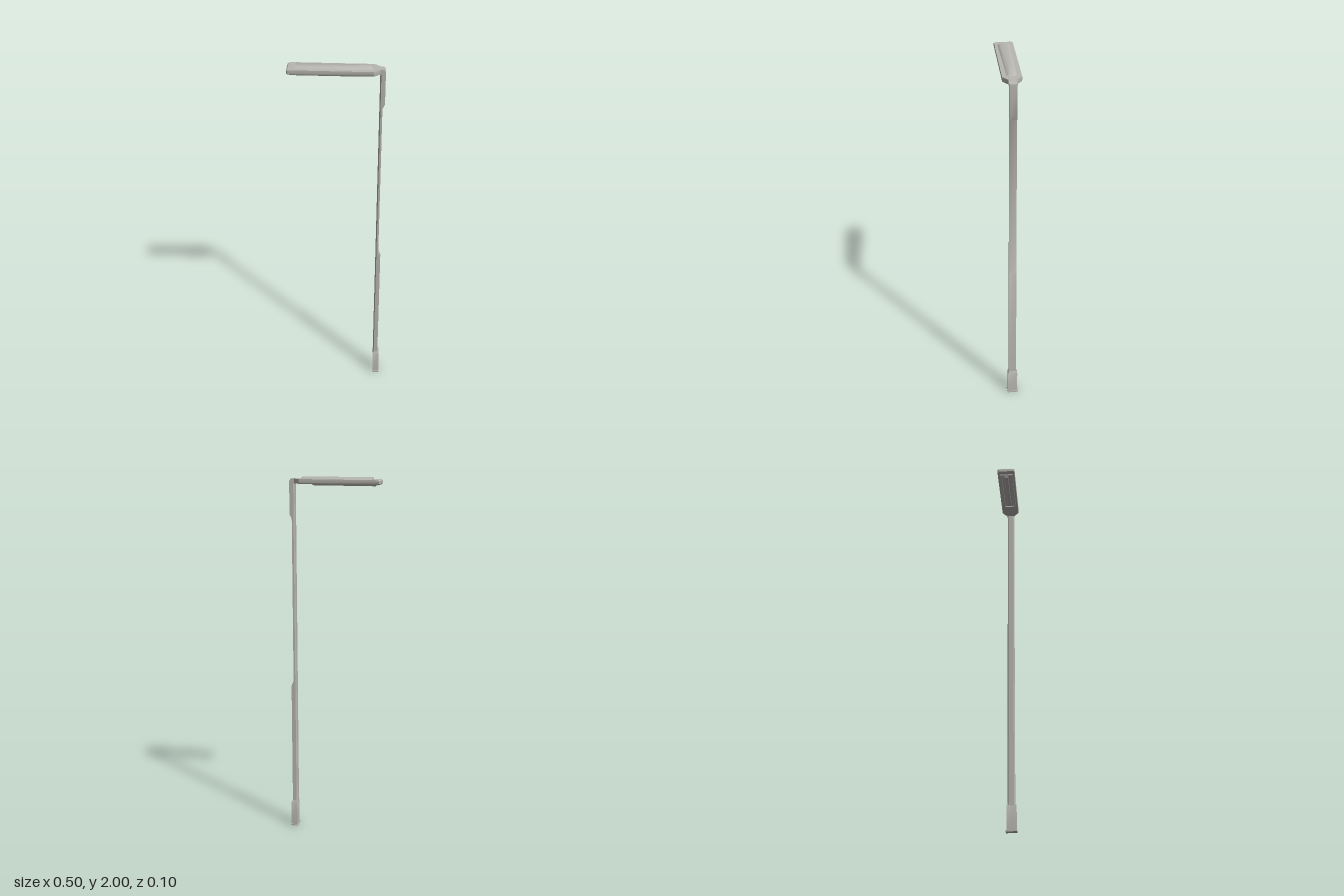
import * as THREE from 'three';
import { toCreasedNormals } from 'three/addons/utils/BufferGeometryUtils.js';

const metal = new THREE.MeshStandardMaterial({ color: 0xb8b6b0 });
metal.name = 'light grey metal';

// Mirror a half outline of [x, z] points (left to right) across z = 0 at height y
function ring(y, half) {
  const pts = half.map(([x, z]) => new THREE.Vector3(x, y, z));
  const back = half.slice().reverse().map(([x, z]) => new THREE.Vector3(x, y, -z));
  return pts.concat(back);
}

// Solid through stacked rings, bottom to top, closed at both ends
function loft(name, rings, crease = 0.6) {
  const pos = [];
  const tri = (...pts) => pts.forEach((p) => pos.push(p.x, p.y, p.z));
  const centre = (r) => r.reduce((s, p) => s.add(p), new THREE.Vector3()).divideScalar(r.length);
  const n = rings[0].length;
  const low = rings[0], high = rings[rings.length - 1];
  const cLow = centre(low), cHigh = centre(high);
  for (let i = 0; i < n; i++) {
    const j = (i + 1) % n;
    for (let k = 0; k < rings.length - 1; k++) {
      const a = rings[k], b = rings[k + 1];
      tri(a[i], a[j], b[j]);
      tri(a[i], b[j], b[i]);
    }
    tri(cLow, low[j], low[i]);
    tri(cHigh, high[i], high[j]);
  }
  const geo = new THREE.BufferGeometry();
  geo.setAttribute('position', new THREE.Float32BufferAttribute(pos, 3));
  const mesh = new THREE.Mesh(toCreasedNormals(geo, crease), metal);
  mesh.name = name;
  return mesh;
}

function box(name, x0, x1, y0, y1, z0, z1) {
  const mesh = new THREE.Mesh(new THREE.BoxGeometry(x1 - x0, y1 - y0, z1 - z0), metal);
  mesh.position.set((x0 + x1) / 2, (y0 + y1) / 2, (z0 + z1) / 2);
  mesh.name = name;
  return mesh;
}

export function createModel() {
  const model = new THREE.Group();
  model.name = 'streetLamp';

  // Foot plate and sleeve
  model.add(box('footPlate', 0.21, 0.252, 0, 0.008, -0.031, 0.031));
  const sleeve = (y, inset) => ring(y, [[0.213 + inset, 0.027 - inset], [0.248 - inset, 0.027 - inset]]);
  model.add(loft('baseSleeve', [sleeve(0.008, 0), sleeve(0.143, 0), sleeve(0.153, 0.005)]));

  // Post: chamfered inner corners, outer face stepping in and out
  const levels = [[0.14, 0.24], [0.845, 0.24], [0.872, 0.228], [1.775, 0.228], [1.8, 0.24], [1.977, 0.24], [1.99, 0.231]];
  model.add(loft('post', levels.map(([y, outer]) =>
    ring(y, [[0.212, 0.014], [0.218, 0.02], [outer, 0.02]]))));

  // Lamp head: flat slab tapering to the neck, bevelled tip
  const slab = (y, tip, w) => ring(y, [[tip, w - 0.006], [tip + 0.006, w], [0.182, w], [0.213, 0.022], [0.231, 0.022]]);
  model.add(loft('lampHead', [
    slab(1.965, -0.249, 0.046), slab(1.97, -0.253, 0.049),
    slab(1.985, -0.253, 0.049), slab(1.99, -0.247, 0.049),
  ]));

  // Softly rounded, tapering ridge on top
  model.add(loft('topRidge', [
    ring(1.99, [[-0.208, 0.033], [0.165, 0.026], [0.177, 0.016]]),
    ring(2.0, [[-0.206, 0.022], [0.16, 0.018], [0.168, 0.012]]),
  ], 0.9));

  // Light panel underneath: sloped rails, end bars and a sloped lens
  const panel = new THREE.Group();
  panel.name = 'lightPanel';
  const bar = (name, x0, x1, w) => loft(name, [
    ring(1.958, [[x0, w - 0.004], [x1, w - 0.004]]),
    ring(1.966, [[x0, w], [x1, w]]),
  ]);
  for (const s of [-1, 1]) {
    const rail = bar('panelRail', -0.23, 0.11, 0.008);
    rail.position.z = s * 0.031;
    panel.add(rail);
  }
  panel.add(box('panelEnd', -0.23, -0.218, 1.958, 1.966, -0.025, 0.025));
  panel.add(box('panelEnd', 0.098, 0.11, 1.958, 1.966, -0.025, 0.025));
  panel.add(bar('lens', -0.21, 0.09, 0.013));
  model.add(panel);

  return model;
}
